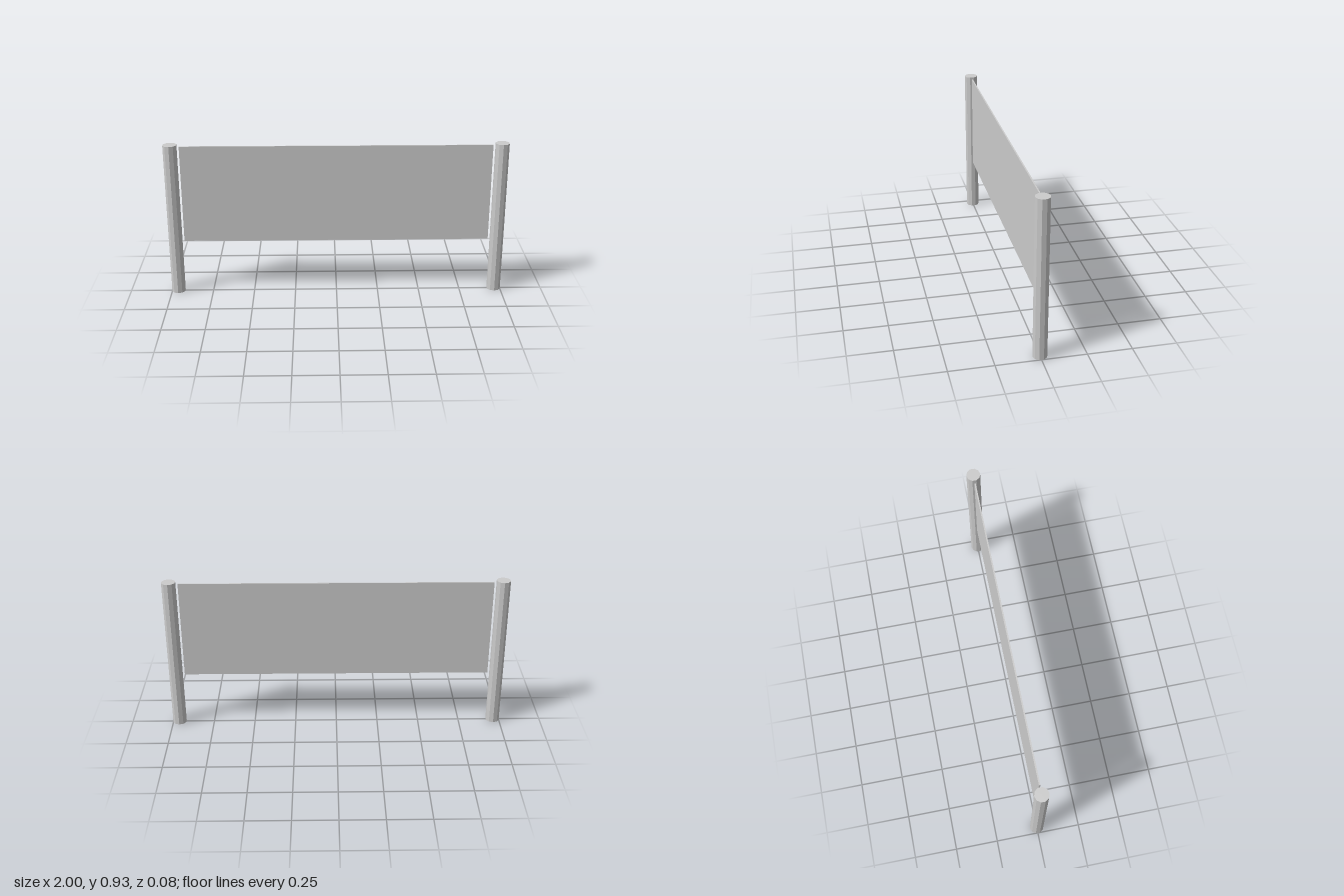
import * as THREE from 'three';

export function createModel() {
  const model = new THREE.Group();
  const postMaterial = new THREE.MeshStandardMaterial({ color: 0xcccccc, flatShading: true, side: THREE.DoubleSide });
  const panelMaterial = new THREE.MeshStandardMaterial({ color: 0xcccccc, flatShading: true });

  // Ten-sided posts, capped on top and open underneath
  const radius = 0.041, height = 0.93;
  const profile = [[radius, 0], [radius, height], [0, height]].map(([x, y]) => new THREE.Vector2(x, y));
  const postGeometry = new THREE.LatheGeometry(profile, 10);
  for (const side of [-1, 1]) {
    const post = new THREE.Mesh(postGeometry, postMaterial);
    post.name = side > 0 ? 'leftPost' : 'rightPost';
    post.position.x = side * 0.961;
    model.add(post);
  }

  // Thin panel hung between the posts with a small gap at each end
  const bottom = 0.33, top = 0.92;
  const panel = new THREE.Mesh(new THREE.BoxGeometry(1.816, top - bottom, 0.008), panelMaterial);
  panel.name = 'panel';
  panel.position.y = (bottom + top) / 2;
  model.add(panel);

  return model;
}
